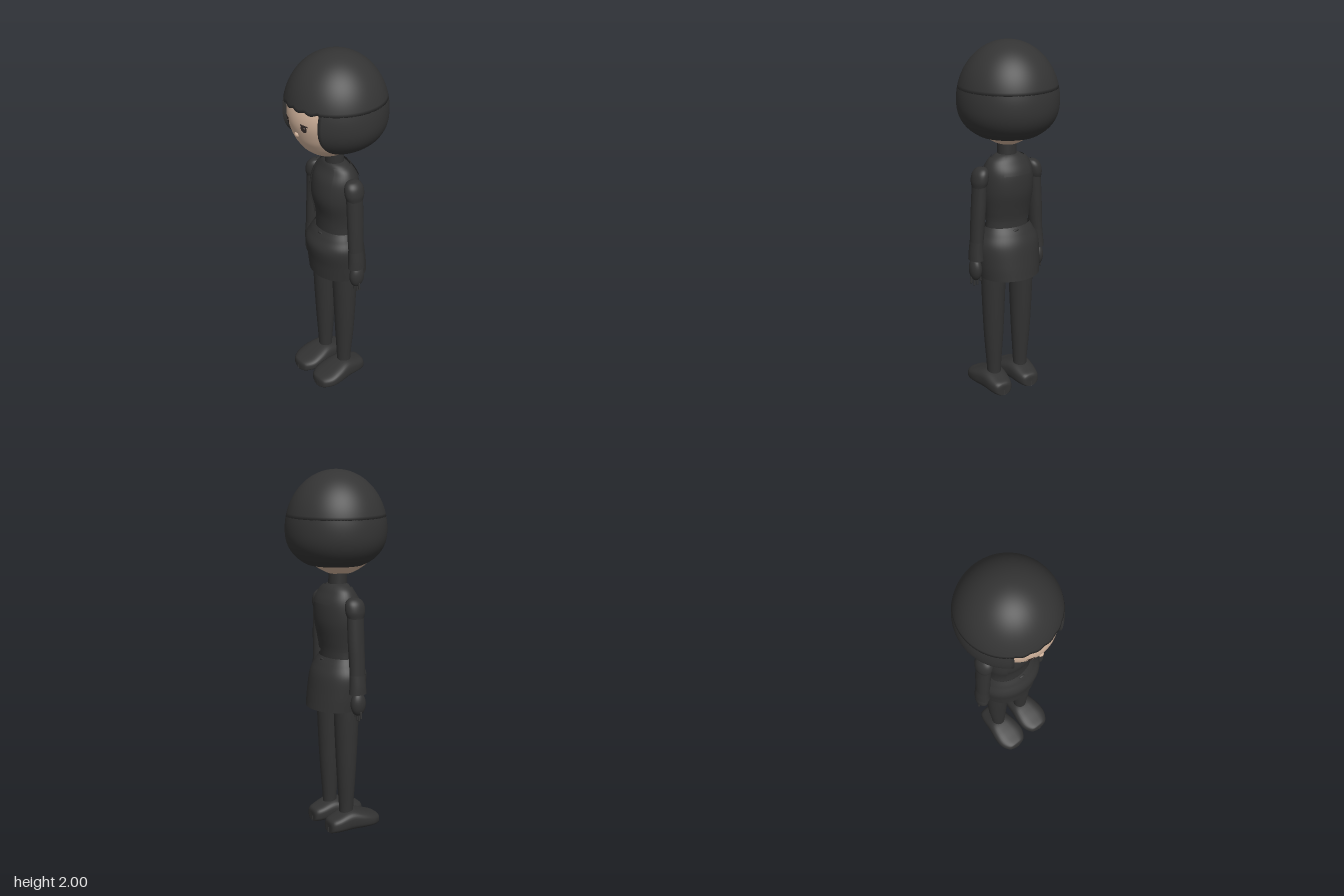
import * as THREE from 'three';
import { mergeVertices } from 'three/addons/utils/BufferGeometryUtils.js';

const mat = (name, hex) => {
  const m = new THREE.MeshStandardMaterial({ color: hex, side: THREE.DoubleSide });
  m.name = name;
  return m;
};

// Smooth grid surface from f(u, v) -> [x, y, z]; u runs counter-clockwise, v upwards
function surface(nu, nv, f) {
  const pos = [], idx = [], w = nu + 1;
  for (let j = 0; j <= nv; j++) for (let i = 0; i <= nu; i++) pos.push(...f(i / nu, j / nv));
  for (let j = 0; j < nv; j++) for (let i = 0; i < nu; i++) {
    const a = j * w + i;
    idx.push(a, a + 1, a + w, a + 1, a + w + 1, a + w);
  }
  let g = new THREE.BufferGeometry();
  g.setAttribute('position', new THREE.Float32BufferAttribute(pos, 3));
  g.setIndex(idx);
  g = mergeVertices(g, 1e-5);
  g.computeVertexNormals();
  return g;
}

// Rings are [y, half width, half depth, centre z, centre x], listed from low to high
function sections(rings) {
  const a = new THREE.CatmullRomCurve3(rings.map(r => new THREE.Vector3(r[0], r[1], r[2])), false, 'catmullrom', 0.5);
  const b = new THREE.CatmullRomCurve3(rings.map(r => new THREE.Vector3(r[3] || 0, r[4] || 0, 0)), false, 'catmullrom', 0.5);
  return s => {
    const p = a.getPoint(s), q = b.getPoint(s);
    return { y: p.x, hx: Math.max(p.y, 0), hz: Math.max(p.z, 0), cz: q.x, cx: q.y };
  };
}

function loft(rings, { from = -Math.PI, to = Math.PI, s0 = 0, s1 = 1, grow = 0, power = 1, nu = 36, nv = 28 } = {}) {
  const at = sections(rings);
  const pw = k => Math.sign(k) * Math.abs(k) ** power;
  return surface(nu, nv, (u, v) => {
    const c = at(s0 + (s1 - s0) * v), t = from + (to - from) * u;
    return [c.cx + (c.hx + grow) * pw(Math.sin(t)), c.y, c.cz + (c.hz + grow) * pw(Math.cos(t))];
  });
}

const HEAD = [
  [1.442, 0.002, 0.002, 0.03], [1.455, 0.055, 0.075, 0.03], [1.5, 0.125, 0.15, 0.025], [1.55, 0.165, 0.198, 0.018],
  [1.6, 0.195, 0.225, 0.016], [1.68, 0.22, 0.245, 0.016], [1.76, 0.22, 0.235, 0.014], [1.86, 0.17, 0.19, 0.01], [1.93, 0.04, 0.04, 0]];
const TORSO = [
  [0.98, 0.128, 0.085, 0.012], [1.04, 0.124, 0.085, 0.012], [1.1, 0.13, 0.093, 0.01], [1.2, 0.143, 0.114, 0.012],
  [1.3, 0.138, 0.106, 0.008], [1.36, 0.115, 0.075, 0.005], [1.39, 0.08, 0.057, 0.008], [1.402, 0.045, 0.043, 0.01]];

// Lays a flat geometry in x, y onto the front of the head
function ontoFace(geo, lift) {
  const at = sections(HEAD), p = geo.attributes.position;
  for (let i = 0; i < p.count; i++) {
    let lo = 0, hi = 1;
    for (let k = 0; k < 24; k++) {
      const m = (lo + hi) / 2;
      if (at(m).y < p.getY(i)) lo = m; else hi = m;
    }
    const c = at(lo);
    p.setZ(i, c.cz + c.hz * Math.sqrt(Math.max(0, 1 - (p.getX(i) / c.hx) ** 2)) + lift);
  }
  geo.computeVertexNormals();
  return geo;
}

export function createModel() {
  const model = new THREE.Group();
  const hair = mat('hair black', 0x343434), cloth = mat('cloth black', 0x323232);
  const skin = mat('skin', 0xd0b29b), eyeDark = mat('eye brown', 0x352c2a), glint = mat('eye glint', 0x8a7a72);
  const add = (name, geo, m, parent = model) => {
    const mesh = new THREE.Mesh(geo, m);
    mesh.name = name;
    parent.add(mesh);
    return mesh;
  };

  // Head with a small nose
  add('head', loft(HEAD, { nu: 48, nv: 40 }), skin);
  const nose = add('nose', new THREE.SphereGeometry(0.016, 16, 12), skin);
  nose.position.set(0, 1.615, 0.242);

  // Hair: domed cap with a scalloped fringe
  const open = 0.15, fringeY = 1.76, R = 0.272, midY = 1.69;
  const hairR = y => y > midY
    ? R * Math.sqrt(Math.max(0, 1 - ((y - midY) / 0.31) ** 2))
    : R * Math.sqrt(1 - ((midY - y) / 0.22) ** 2.4);
  const edge = Math.asin(open / hairR(fringeY));
  add('hairCap', surface(144, 25, (u, v) => {
    const t = -Math.PI + 2 * Math.PI * u;
    const low = Math.abs(t) < edge ? fringeY + 0.004 - 0.012 * Math.abs(Math.sin(t * 11)) : fringeY - 0.002;
    const a0 = Math.asin((low - midY) / 0.31);
    const k = Math.max(0, (v * 25 - 1) / 24), a = a0 + (Math.PI / 2 - a0) * k;
    const r = R * Math.cos(a) * (v === 0 ? 0.93 : 1);
    return [r * Math.sin(t), midY + 0.31 * Math.sin(a), r * Math.cos(t)];
  }), hair);

  // Hair: bob around the sides and back, its rim tucked inwards
  const nu = 80, nv = 22;
  add('hairBob', surface(nu, nv, (u, v) => {
    const i = Math.round(u * nu), j = Math.round(v * nv);
    const y = 1.506 + (fringeY - 1.506) * Math.max(0, (j - 1) / (nv - 1)) ** 1.3;
    const r = hairR(y), e = Math.asin(Math.min(0.95, open / r));
    const k = THREE.MathUtils.clamp((i - 1) / (nu - 2), 0, 1);
    const t = e + (2 * Math.PI - 2 * e) * k;
    const q = (i === 0 || i === nu ? 0.86 : 1) * (j === 0 ? 0.86 : 1);
    return [r * q * Math.sin(t), y, r * q * Math.cos(t)];
  }), hair);

  // Neck and collar
  add('neck', loft([[1.37, 0.055, 0.052, 0.01], [1.4, 0.053, 0.05, 0.01], [1.47, 0.053, 0.05, 0.012]], { nv: 8 }), cloth);

  // Torso, open vest, back yoke, skirt
  add('torso', loft(TORSO), cloth);
  add('vest', loft(TORSO, { from: 0.66, to: 2 * Math.PI - 0.66, s0: 0.14, s1: 0.82, grow: 0.008 }), cloth);
  add('backYoke', loft(TORSO, { from: Math.PI - 0.6, to: Math.PI + 0.6, s0: 0.57, s1: 0.9, grow: 0.014, nu: 16, nv: 12 }), cloth);
  add('skirt', loft([
    [0.717, 0.175, 0.152, -0.012], [0.8, 0.183, 0.149, -0.003], [0.9, 0.186, 0.145, 0.012],
    [0.96, 0.158, 0.118, 0.012], [1.0, 0.134, 0.092, 0.012]], { nu: 48 }), cloth);
  for (const z of [0.113, -0.088]) {
    const knot = add('waistKnot', new THREE.SphereGeometry(1, 12, 8), cloth);
    knot.scale.set(0.018, 0.007, 0.007);
    knot.position.set(0.005, 0.985, z);
  }

  // Paired parts, built on the left and mirrored by moving each ring across
  for (const s of [1, -1]) {
    const side = new THREE.Group();
    side.name = s > 0 ? 'leftSide' : 'rightSide';
    model.add(side);
    const flip = rings => rings.map(r => [r[0], r[1], r[2], r[3], s * r[4]]);

    // Eye with lashes and a glint
    const eye = new THREE.CircleGeometry(1, 20).scale(0.017, 0.022, 1).translate(s * 0.067, 1.67, 0);
    add('eye', ontoFace(eye, 0.003), eyeDark, side);
    const lash = new THREE.PlaneGeometry(0.042, 0.007, 8, 1).rotateZ(-s * 0.12).translate(s * 0.07, 1.688, 0);
    add('eyelash', ontoFace(lash, 0.004), eyeDark, side);
    const spark = new THREE.CircleGeometry(0.004, 10).translate(s * 0.067 + 0.006, 1.676, 0);
    add('eyeGlint', ontoFace(spark, 0.005), glint, side);

    // Shoulder puff, sleeve and cuff
    add('shoulder', loft(flip([
      [1.235, 0.036, 0.046, 0.012, 0.178], [1.27, 0.043, 0.056, 0.012, 0.174], [1.31, 0.041, 0.053, 0.012, 0.167],
      [1.335, 0.026, 0.034, 0.012, 0.16], [1.343, 0.002, 0.002, 0.012, 0.156]])), cloth, side);
    add('sleeve', loft(flip([
      [0.9, 0.034, 0.043, 0.014, 0.197], [1.0, 0.037, 0.045, 0.014, 0.19], [1.1, 0.038, 0.047, 0.012, 0.184],
      [1.26, 0.038, 0.048, 0.012, 0.174]])), cloth, side);
    add('cuff', loft(flip([
      [0.825, 0.04, 0.05, 0.014, 0.2], [0.87, 0.038, 0.047, 0.014, 0.199], [0.93, 0.035, 0.045, 0.014, 0.195]]), { nv: 10 }), cloth, side);

    // Hand and fingers
    const hand = add('hand', new THREE.SphereGeometry(1, 24, 16), cloth, side);
    hand.scale.set(0.034, 0.066, 0.044);
    hand.position.set(s * 0.205, 0.768, 0.014);
    [0.172, 0.192, 0.211, 0.23].forEach((x, i) => {
      const long = i === 0 || i === 3 ? 0.035 : 0.045;
      const finger = add('finger', new THREE.CapsuleGeometry(0.006, long, 4, 10), cloth, side);
      finger.position.set(s * x, i === 0 || i === 3 ? 0.71 : 0.698, 0.016);
      finger.rotation.z = s * (x - 0.2) * 3;
    });

    // Leg
    add('leg', loft(flip([
      [0.08, 0.04, 0.04, 0.012, 0.09], [0.14, 0.041, 0.041, 0.012, 0.09], [0.35, 0.056, 0.054, 0.01, 0.092],
      [0.6, 0.066, 0.066, 0.01, 0.092], [0.75, 0.07, 0.07, 0.01, 0.09], [0.92, 0.07, 0.07, 0.01, 0.088]])), cloth, side);

    // Shoe, lofted from heel to toe: [z, half width, height]
    const shoe = [
      [-0.105, 0.002, 0.03], [-0.102, 0.046, 0.07], [-0.06, 0.066, 0.09], [0.02, 0.076, 0.115],
      [0.09, 0.088, 0.1], [0.15, 0.086, 0.078], [0.195, 0.062, 0.062], [0.208, 0.036, 0.05], [0.212, 0.002, 0.03]]
      .map(([z, hx, h]) => [z, hx, h / 2, -h / 2, s * 0.093]);
    add('shoe', loft(shoe, { power: 0.7, nv: 36 }).rotateX(Math.PI / 2), cloth, side);
  }
  return model;
}
